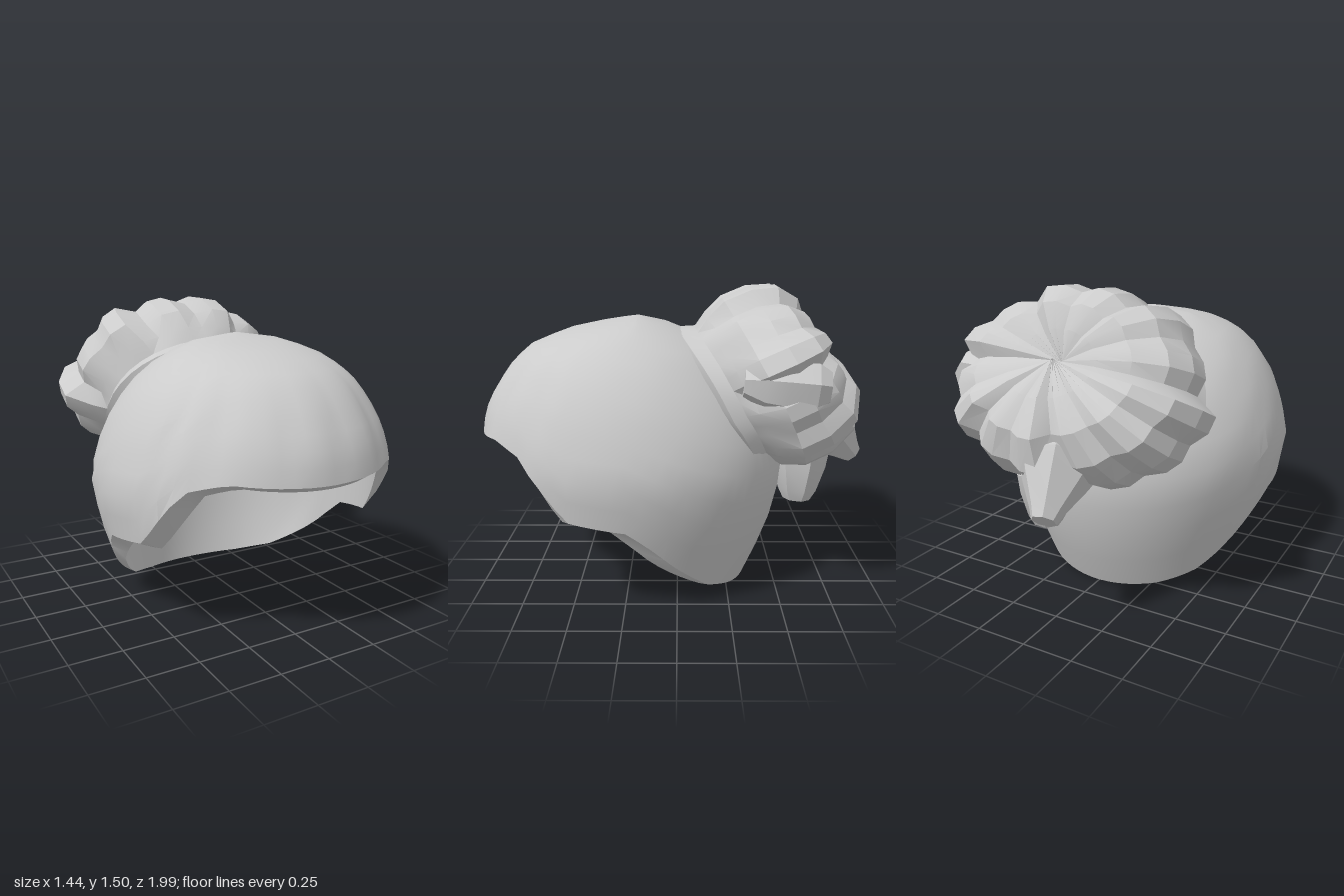
import * as THREE from 'three';
import { toCreasedNormals } from 'three/addons/utils/BufferGeometryUtils.js';

const material = new THREE.MeshStandardMaterial({ color: 0xcccccc, side: THREE.DoubleSide });

// Linear interpolation in a list of [key, value] pairs
function lerpTable(table, k) {
  if (k <= table[0][0]) return table[0][1];
  for (let i = 1; i < table.length; i++) {
    const [k0, v0] = table[i - 1], [k1, v1] = table[i];
    if (k <= k1) return v0 + (v1 - v0) * (k - k0) / (k1 - k0);
  }
  return table[table.length - 1][1];
}

// Surface through closed rings: pointAt(angle, row, column) gives each vertex
function loft(name, cols, rows, pointAt, crease) {
  const pos = [], index = [];
  for (let j = 0; j < rows; j++)
    for (let i = 0; i < cols; i++) pos.push(...pointAt(i / cols * Math.PI * 2, j, i));
  for (let j = 0; j < rows - 1; j++)
    for (let i = 0; i < cols; i++) {
      const n = (i + 1) % cols, a = j * cols + i, b = j * cols + n;
      index.push(a, b, b + cols, a, b + cols, a + cols);
    }
  const geo = new THREE.BufferGeometry();
  geo.setAttribute('position', new THREE.Float32BufferAttribute(pos, 3));
  geo.setIndex(index);
  const mesh = new THREE.Mesh(toCreasedNormals(geo, crease), material);
  mesh.name = name;
  return mesh;
}

// Cap outline by height: half width, front z and back z; and the rim height by z
const WIDTH = [[0, .57], [.2, .61], [.47, .69], [.68, .725], [.85, .68], [1, .62], [1.15, .515], [1.25, .39], [1.32, .23], [1.35, 0]];
const FRONT = [[0, .97], [.8, 1], [.9, .98], [1, .93], [1.1, .86], [1.2, .76], [1.28, .57], [1.32, .38], [1.35, .2]];
const BACK = [[0, -.36], [.2, -.45], [.4, -.52], [.65, -.55], [.9, -.48], [1.05, -.36], [1.2, -.2], [1.3, 0], [1.35, .2]];
const RIM = [[-.36, 0], [-.28, .02], [-.15, .08], [0, .22], [.1, .33], [.22, .44], [.5, .48], [.73, .76], [.85, .8], [1, .78]];
const TOP = 1.35;

// Strand grooves at a few angles around the front: [angle, depth]
const GROOVES = [[-1.05, .03], [-.75, .035], [-.28, .02], [.11, .025], [.56, .04], [1, .025]];

function capPoint(t, y, inner) {
  let w = lerpTable(WIDTH, y), f = lerpTable(FRONT, y), b = lerpTable(BACK, y);
  let s = 1;
  if (inner) {
    // The inside rises as an upright wall, thickest behind the neck
    w = Math.min(w, .635);
    b = Math.max(b, -.37);
    s = .95;
  } else {
    const band = Math.max(0, 1 - Math.abs(y - 1) / .25);
    const a = t > Math.PI ? t - Math.PI * 2 : t;
    for (const [g, d] of GROOVES) s -= d * band * Math.max(0, 1 - Math.abs(a - g) / .1);
  }
  return [w * s * Math.sin(t), y, (f + b) / 2 + (f - b) / 2 * s * Math.cos(t)];
}

function rimHeight(t) {
  let y = .4;
  for (let k = 0; k < 14; k++) y = lerpTable(RIM, capPoint(t, y, false)[2]);
  return y;
}

// Hollow cap: inner wall down to the rim, then the outer wall back to the crown
function buildCap() {
  const steps = 14;
  return loft('hairCap', 72, steps * 2, (t, j) => {
    const inner = j < steps;
    const s = inner ? 1 - j / (steps - 1) : (j - steps) / (steps - 1);
    const rim = rimHeight(t);
    const y = rim + (TOP - rim) * Math.sin(s * Math.PI / 2);
    const p = capPoint(t, y, inner);
    if (inner) p[1] -= .05 * s + .025 * (1 - s) * Math.min(1, rim * 2);
    return p;
  }, .5);
}

// Bun: a tilted, dented cushion on a collar, its strands meeting at the back
function buildBun() {
  const profile = [[.7, -.3], [.82, -.38], [.88, -.35], [.82, -.27], [.91, -.2], [1, -.05], [.99, .09],
    [.88, .21], [.64, .28], [.34, .28], [0, .23]];
  const U = new THREE.Vector3(0, .91, .41), A = new THREE.Vector3(0, .41, -.91);
  // Uneven strand sizes; each strand has a groove column, a crest and a shoulder
  const strands = [1.0, .97, 1.03, .97, 1.03, 1.0, 1.04, .97, 1.0, 1.04, .96, 1.02, .98];
  const shape = [.935, 1.0, 1.01];
  return loft('bun', strands.length * 3, profile.length, (t, j, i) => {
    const [r, h] = profile[j];
    const outer = THREE.MathUtils.smoothstep(h, -.3, -.1) * Math.min(1, r * 1.3);
    const k = 1 + (strands[Math.floor(i / 3)] * shape[i % 3] - 1) * outer;
    const c = Math.cos(t), side = 1 - c * c;
    // The front tapers into the collar, which bends back around the head
    const taper = h < -.1 ? .93 : 1;
    const p = new THREE.Vector3(.625 * r * k * taper * Math.sin(t), 1.03, -.5);
    p.addScaledVector(U, r * k * c * (c > 0 ? .5 : .455));
    // The lower half sits further back on the neck and bulges out behind
    const depth = h < 0 ? 1 - .22 * side - .25 * Math.max(0, -c) : 1 + .2 * Math.max(0, -c);
    p.addScaledVector(A, h * depth * (1 + (k - 1) * 1.5) - .04 * Math.max(0, c) * (h > -.2 ? 1 : 0));
    // The strands converge a little above the middle
    if (h > 0) p.addScaledVector(U, .09 * (1 - r));
    return p.toArray();
  }, .4);
}

// Chunky rounded lock between two points
function buildLock(name, from, to, r0, r1, sides = 7) {
  const a = new THREE.Vector3(...from), b = new THREE.Vector3(...to);
  const len = a.distanceTo(b);
  const profile = [[0, 0], [r1 * .7, 0], [r1, len * .15], [(r0 + r1) * .55, len * .5], [r0, len * .75], [r0 * .6, len], [0, len]];
  const geo = new THREE.LatheGeometry(profile.map(p => new THREE.Vector2(...p)), sides);
  const mesh = new THREE.Mesh(toCreasedNormals(geo, .4), material);
  mesh.name = name;
  mesh.position.copy(b);
  mesh.quaternion.setFromUnitVectors(new THREE.Vector3(0, 1, 0), a.sub(b).normalize());
  return mesh;
}

export function createModel() {
  const group = new THREE.Group();
  group.name = 'hairWithBun';
  group.add(buildCap(), buildBun());
  // Loose locks: below the bun, at its back tip, and along its left side
  group.add(
    buildLock('lowerLock', [.1, .78, -.64], [.12, .41, -.62], .15, .1),
    buildLock('backLock', [-.04, .84, -.7], [-.1, .59, -.95], .19, .08),
    buildLock('leftLock', [.49, 1.1, -.3], [.5, 1.07, -.68], .12, .12),
  );
  return group;
}
